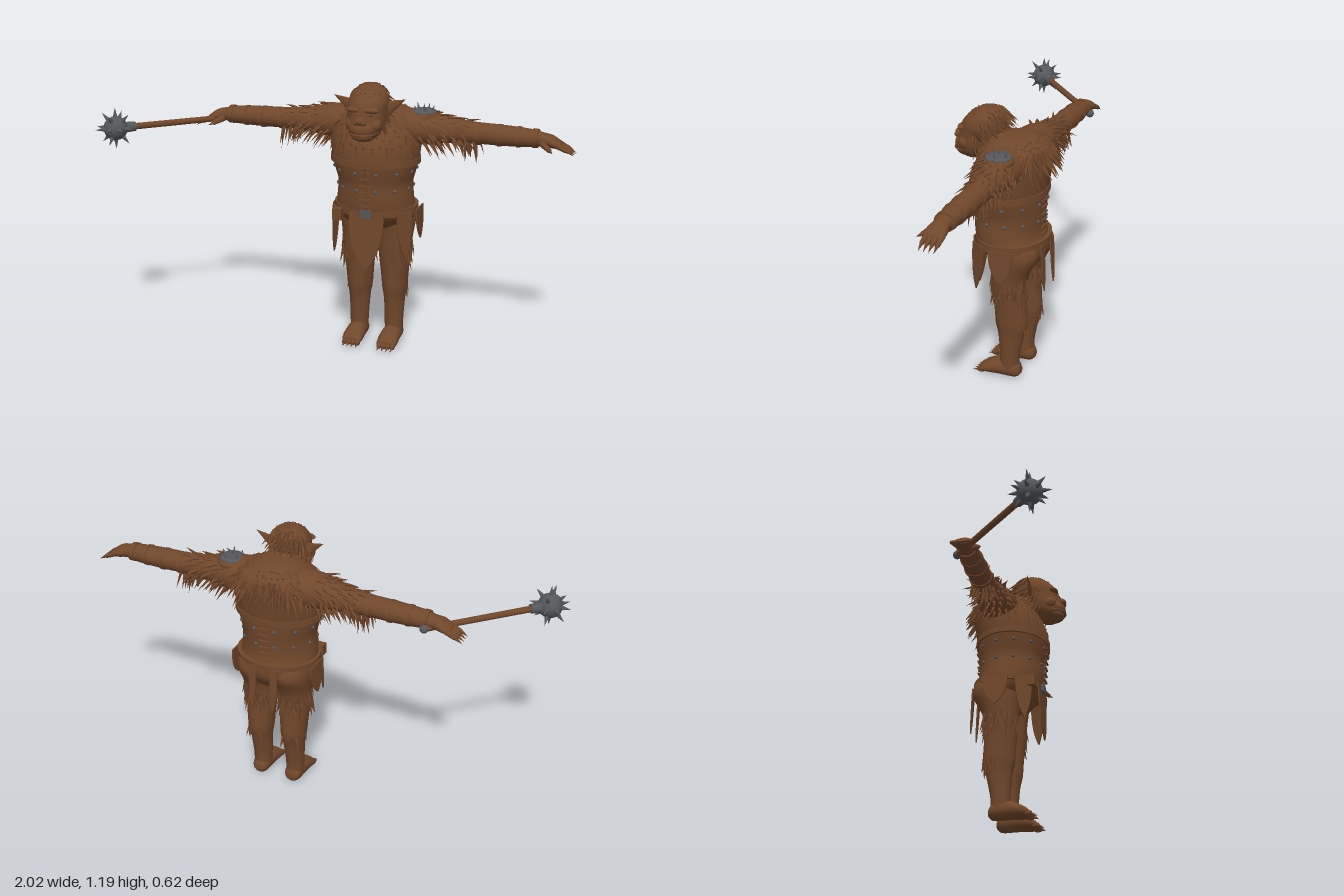
import * as THREE from 'three';
import { mergeGeometries } from 'three/addons/utils/BufferGeometryUtils.js';

const V = (x, y, z) => new THREE.Vector3(x, y, z);
const brown = new THREE.MeshStandardMaterial({ color: 0x70472b, name: 'brown hide', side: THREE.DoubleSide });
const metal = new THREE.MeshStandardMaterial({ color: 0x55575b, name: 'dark metal' });

// Places ring coordinates on an axis: rings are [t, centreA, centreB, radiusA, radiusB]
const put = { y: (t, a, b) => V(a, t, b), x: (t, a, b) => V(t, b, a), z: (t, a, b) => V(b, a, t) };

// Smoothly interpolated ring at fraction f (0..1) of the list
function ringAt(rings, f) {
  const n = rings.length - 1, s = Math.min(f * n, n - 1e-6), i = Math.floor(s), k = s - i;
  const g = j => rings[Math.max(0, Math.min(n, j))];
  return rings[0].map((_, c) => {
    const [p, q, r, w] = [g(i - 1)[c], g(i)[c], g(i + 1)[c], g(i + 2)[c]];
    return q + 0.5 * k * (r - p + k * (2 * p - 5 * q + 4 * r - w + k * (3 * (q - r) + w - p)));
  });
}
function pointOn(rings, axis, f, a) {
  const [t, ca, cb, ra, rb] = ringAt(rings, f);
  return put[axis](t, ca + ra * Math.cos(a), cb + rb * Math.sin(a));
}
function loft(rings, axis, seg = 28) {
  const steps = (rings.length - 1) * 4, pos = [], idx = [];
  for (let i = 0; i <= steps; i++)
    for (let j = 0; j < seg; j++) pos.push(...pointOn(rings, axis, i / steps, j / seg * Math.PI * 2));
  for (let i = 0; i < steps; i++) for (let j = 0; j < seg; j++) {
    const a = i * seg + j, b = i * seg + (j + 1) % seg;
    idx.push(a, a + seg, b, b, a + seg, b + seg);
  }
  for (const e of [0, steps]) { // end caps
    const [t, a, b] = ringAt(rings, e / steps), c = pos.length / 3;
    pos.push(...put[axis](t, a, b));
    for (let j = 0; j < seg; j++) {
      const p = e * seg + j, q = e * seg + (j + 1) % seg;
      idx.push(c, ...(e ? [q, p] : [p, q]));
    }
  }
  const geo = new THREE.BufferGeometry();
  geo.setAttribute('position', new THREE.Float32BufferAttribute(pos, 3));
  geo.setIndex(idx);
  geo.computeVertexNormals();
  return geo;
}
function mirror(geo) {
  const m = geo.clone().scale(-1, 1, 1), ix = m.index.array;
  for (let i = 0; i < ix.length; i += 3) [ix[i], ix[i + 1]] = [ix[i + 1], ix[i]];
  m.computeVertexNormals();
  return m;
}
// Tapering spike from p along d, its tip sagging by droop
function spike(p, d, len, r, droop = 0, sides = 4) {
  const g = new THREE.ConeGeometry(r, len, sides, droop ? 3 : 1).translate(0, len / 2, 0);
  const k = Array.from({ length: g.attributes.position.count }, (_, i) => g.attributes.position.getY(i) / len);
  g.applyQuaternion(new THREE.Quaternion().setFromUnitVectors(V(0, 1, 0), d.clone().normalize()));
  g.translate(p.x, p.y, p.z);
  k.forEach((f, i) => g.attributes.position.setY(i, g.attributes.position.getY(i) - droop * f * f));
  g.computeVertexNormals();
  return g;
}
function rod(a, b, r0, r1, sides = 12) {
  const d = b.clone().sub(a), g = new THREE.CylinderGeometry(r1, r0, d.length(), sides);
  g.applyQuaternion(new THREE.Quaternion().setFromUnitVectors(V(0, 1, 0), d.normalize()));
  return g.translate((a.x + b.x) / 2, (a.y + b.y) / 2, (a.z + b.z) / 2);
}
const ball = (x, y, z, sx, sy = sx, sz = sx) => new THREE.SphereGeometry(1, 20, 14).scale(sx, sy, sz).translate(x, y, z);
let seed = 7;
const rnd = () => (seed = (seed * 16807) % 2147483647) / 2147483647;

// Rows of fur tufts over a lofted surface, combed along flow
function fur(rings, axis, [f0, f1], [a0, a1], rows, cols, len, r, flow, lift = 0.5) {
  const out = [];
  for (let i = 0; i < rows; i++) for (let j = 0; j < cols; j++) {
    const f = f0 + (f1 - f0) * (i + rnd() * 0.7) / rows;
    const a = a0 + (a1 - a0) * (j + (i % 2) * 0.5 + rnd() * 0.4) / cols;
    const [t, ca, cb] = ringAt(rings, f), p = pointOn(rings, axis, f, a);
    const n = p.clone().sub(put[axis](t, ca, cb)).normalize();
    const L = len * (0.7 + 0.6 * rnd());
    const d = n.clone().multiplyScalar(lift).add(flow).add(V(rnd() - 0.5, 0, rnd() - 0.5).multiplyScalar(0.4));
    out.push(spike(p.addScaledVector(n, -0.004), d, L, r, L * 0.15));
  }
  return mergeGeometries(out);
}

const torso = [[0.52, 0, -0.13, 0.12, 0.07], [0.57, 0, -0.115, 0.155, 0.12], [0.62, 0, -0.095, 0.172, 0.147],
  [0.68, 0, -0.08, 0.168, 0.145], [0.75, 0, -0.08, 0.163, 0.147], [0.8, 0, -0.077, 0.175, 0.154],
  [0.86, 0, -0.075, 0.19, 0.16], [0.93, 0, -0.085, 0.196, 0.16], [1.0, 0, -0.105, 0.19, 0.148],
  [1.05, 0, -0.11, 0.15, 0.125], [1.085, 0, -0.1, 0.07, 0.07]];
const skull = [[0.965, 0, 0.09, 0.03, 0.03], [0.99, 0, 0.09, 0.06, 0.06], [1.03, 0, 0.065, 0.076, 0.088],
  [1.08, 0, 0.045, 0.08, 0.095], [1.12, 0, 0.035, 0.084, 0.094], [1.16, 0, 0.018, 0.07, 0.076], [1.188, 0, 0.01, 0.035, 0.04]];
const leg = [[0.04, 0.08, -0.112, 0.04, 0.044], [0.1, 0.08, -0.112, 0.041, 0.043], [0.2, 0.08, -0.118, 0.046, 0.056],
  [0.26, 0.08, -0.12, 0.055, 0.07], [0.32, 0.08, -0.117, 0.06, 0.071], [0.42, 0.08, -0.11, 0.07, 0.073],
  [0.5, 0.082, -0.114, 0.076, 0.083], [0.58, 0.083, -0.13, 0.084, 0.107], [0.63, 0.08, -0.13, 0.08, 0.1]];
const foot = [[-0.162, 0.035, 0.08, 0.015, 0.02], [-0.14, 0.042, 0.08, 0.038, 0.037], [-0.07, 0.044, 0.08, 0.04, 0.043],
  [-0.01, 0.031, 0.08, 0.028, 0.046], [0.015, 0.022, 0.08, 0.016, 0.04]];
const arm = [[0.1, -0.11, 0.99, 0.09, 0.08], [0.2, -0.11, 0.99, 0.084, 0.074], [0.3, -0.118, 0.985, 0.06, 0.056],
  [0.42, -0.12, 0.982, 0.048, 0.046], [0.54, -0.12, 0.98, 0.049, 0.044], [0.66, -0.12, 0.978, 0.043, 0.038],
  [0.71, -0.12, 0.977, 0.034, 0.029], [0.75, -0.12, 0.97, 0.043, 0.026], [0.79, -0.12, 0.955, 0.038, 0.014]];

export function createModel() {
  const model = new THREE.Group();
  const body = new THREE.Group();
  body.name = 'body';
  body.position.x = 0.147;
  model.add(body);
  const add = (name, geo, mat = brown, to = body) => {
    const m = new THREE.Mesh(geo, mat);
    m.name = name;
    to.add(m);
    return m;
  };
  const pair = (name, geo, mat) => { add('left ' + name, geo, mat); add('right ' + name, mirror(geo), mat); };
  const PI = Math.PI, down = V(0, -1, 0);

  // Torso, belts and vest
  add('torso', loft(torso, 'y', 40));
  const band = (name, y, h, cz, rx, rz) => add(name, new THREE.CylinderGeometry(1, 1, h, 40).scale(rx, 1, rz).translate(0, y, cz));
  band('belt', 0.635, 0.034, -0.095, 0.184, 0.155);
  band('chest strap', 0.853, 0.026, -0.075, 0.196, 0.165);
  add('vest seam', new THREE.TubeGeometry(new THREE.CatmullRomCurve3(
    [V(0, 0.65, 0.064), V(0, 0.7, 0.066), V(0, 0.76, 0.068), V(0, 0.84, 0.085)]), 12, 0.006, 6));
  for (let i = 0; i < 6; i++)
    for (const z of [-1, 1]) add('vest lacing', new THREE.BoxGeometry(0.05, 0.006, 0.008).translate(0, 0.67 + i * 0.03, z > 0 ? 0.071 + i * 0.002 : -0.229 - i * 0.001));
  add('buckle', new THREE.BoxGeometry(0.05, 0.036, 0.012).translate(0, 0.633, 0.062), metal);
  add('pouch', new THREE.BoxGeometry(0.04, 0.05, 0.035).translate(-0.135, 0.615, 0.035));
  const studs = [];
  for (const f of [0.375, 0.52]) for (let i = 0; i < 12; i++) {
    const p = pointOn(torso, 'y', f, (i + 0.5) / 6 * PI);
    studs.push(ball(p.x, p.y, p.z, 0.008));
  }
  add('vest studs', mergeGeometries(studs), metal);

  // Pointed leather flaps hanging from the belt
  const flap = (name, w, len, x, z, turn) => {
    const s = new THREE.Shape();
    s.moveTo(-w / 2, 0);
    s.lineTo(w / 2, 0);
    s.bezierCurveTo(w / 2, -len * 0.55, w * 0.3, -len * 0.8, 0, -len);
    s.bezierCurveTo(-w * 0.3, -len * 0.8, -w / 2, -len * 0.55, -w / 2, 0);
    const m = add(name, new THREE.ExtrudeGeometry(s, { depth: 0.006, bevelEnabled: false }));
    m.position.set(x, 0.635, z);
    m.rotation.set(-0.05, turn, 0, 'YXZ');
  };
  flap('front flap', 0.155, 0.25, 0, 0.05, 0);
  for (const s of [-1, 1]) {
    flap('front side flap', 0.08, 0.2, s * 0.15, 0.0, s * 0.95);
    flap('side flap', 0.11, 0.14, s * 0.184, -0.115, s * PI / 2);
    flap('back tail', 0.035, 0.21, s * 0.05, -0.242, PI);
  }

  // Legs, feet and toes
  pair('leg', loft(leg, 'y'));
  pair('foot', loft(foot, 'z', 20));
  for (let i = 0; i < 4; i++) {
    const x = 0.05 + i * 0.02;
    pair('toe', ball(x, 0.018, 0.012, 0.011, 0.013, 0.02));
    pair('toe claw', spike(V(x, 0.016, 0.02), V(0, -0.25, 1), 0.032, 0.007, 0, 6));
  }
  pair('thigh fur', fur(leg, 'y', [0.6, 0.74], [-1.6, 1.6], 3, 9, 0.06, 0.009, down, 0.25));
  pair('thigh back fur', fur(leg, 'y', [0.6, 0.72], [3.4, 4.8], 2, 5, 0.045, 0.008, down, 0.25));
  pair('calf fur', fur(leg, 'y', [0.33, 0.42], [3.9, 6.5], 2, 6, 0.04, 0.007, down, 0.2));

  // Arms, bracers and clawed hands
  pair('arm', loft(arm, 'x'));
  for (const [x, r, h] of [[0.44, 0.053, 0.02], [0.53, 0.053, 0.015], [0.61, 0.05, 0.015], [0.68, 0.045, 0.022]])
    pair('bracer band', new THREE.CylinderGeometry(r * 0.97, r, h, 24).rotateZ(-PI / 2).scale(1, 0.9, 1).translate(x, 0.979, -0.12));
  for (let i = 0; i < 4; i++) {
    const z = -0.152 + i * 0.021;
    pair('finger', rod(V(0.77, 0.962, z), V(0.812, 0.942, z), 0.012, 0.009, 10));
    pair('finger claw', spike(V(0.81, 0.944, z), V(1, -0.5, 0), 0.04, 0.009, 0.004, 6));
  }
  pair('thumb', rod(V(0.71, 0.965, -0.09), V(0.75, 0.945, -0.058), 0.014, 0.01, 10));
  pair('thumb claw', spike(V(0.748, 0.946, -0.06), V(0.7, -0.3, 0.8), 0.028, 0.009, 0, 6));
  pair('arm fur', fur(arm, 'x', [0.12, 0.35], [0, 2 * PI], 6, 13, 0.06, 0.008, V(0.6, -0.35, 0), 0.5));
  pair('elbow fur', fur(arm, 'x', [0.3, 0.4], [3.6, 5.8], 3, 6, 0.07, 0.009, V(0.3, -0.9, 0), 0.4));

  // Mane, shoulder fur and chest fringe
  add('back mane', fur(torso, 'y', [0.76, 0.97], [PI, 2 * PI], 7, 19, 0.065, 0.009, V(0, -0.8, -0.25), 0.5));
  add('chest fringe', fur(torso, 'y', [0.69, 0.86], [0.1, PI - 0.1], 4, 18, 0.06, 0.009, down, 0.22));
  pair('shoulder fur', fur(torso, 'y', [0.82, 0.95], [-0.8, 1.1], 4, 8, 0.055, 0.009, V(0.6, -0.5, 0), 0.5));
  add('crown mane', fur(skull, 'y', [0.45, 0.98], [PI + 0.1, 2 * PI - 0.1], 6, 9, 0.05, 0.008, V(0, -0.5, -0.5), 0.5));
  add('forelock', fur(skull, 'y', [0.8, 0.97], [0.6, PI - 0.6], 2, 7, 0.035, 0.007, V(0, -0.6, 0.1), 0.5));
  pair('cheek whiskers', fur(skull, 'y', [0.3, 0.62], [-0.6, 0.25], 4, 4, 0.045, 0.008, V(0, -0.9, -0.3), 0.35));

  // Head and face
  add('head', loft(skull, 'y'));
  add('neck', ball(0, 1.03, -0.02, 0.085, 0.07, 0.09));
  add('muzzle', ball(0, 1.02, 0.112, 0.06, 0.042, 0.055));
  add('lower jaw', ball(0, 0.99, 0.105, 0.052, 0.025, 0.055));
  add('nose', ball(0, 1.058, 0.148, 0.024, 0.018, 0.022));
  add('mouth', new THREE.TorusGeometry(0.052, 0.006, 6, 20, PI).rotateX(PI / 2).translate(0, 1.0, 0.112));
  pair('nostril', ball(0.017, 1.052, 0.155, 0.012, 0.011, 0.012));
  pair('brow', ball(0.035, 1.1, 0.119, 0.037, 0.013, 0.02));
  pair('eye', ball(0.034, 1.082, 0.122, 0.011, 0.009, 0.011));
  pair('cheek', ball(0.05, 1.035, 0.098, 0.027, 0.03, 0.035));
  pair('tusk', spike(V(0.032, 0.995, 0.148), V(0.1, 1, 0.15), 0.035, 0.007, 0, 8));
  const ear = new THREE.ConeGeometry(0.034, 0.1, 12, 1).scale(1, 1, 0.35).rotateZ(-1.1).translate(0.113, 1.112, 0.02);
  pair('ear', ear);

  // Spiked plate on the left shoulder
  const plate = [V(0.2, 1.062, -0.115)];
  add('shoulder pad', ball(0.2, 1.04, -0.115, 0.065, 0.03, 0.065));
  add('shoulder plate', ball(0.2, 1.058, -0.115, 0.055, 0.014, 0.055), metal);
  for (let i = 0; i < 5; i++) plate.push(V(0.2 + 0.034 * Math.cos(i * 0.4 * PI), 1.06, -0.115 + 0.034 * Math.sin(i * 0.4 * PI)));
  add('plate spikes', mergeGeometries(plate.map(p => spike(p, p.clone().sub(V(0.2, 0.97, -0.115)), 0.032, 0.007, 0, 8))), metal);

  // Spiked mace in the right hand
  const mace = new THREE.Group();
  mace.name = 'mace';
  model.add(mace);
  const a = V(-0.538, 0.957, -0.162), b = V(-0.935, 0.962, 0.228);
  const along = f => a.clone().lerp(b, f);
  add('handle', rod(a, b, 0.013, 0.014), brown, mace);
  add('collar', rod(along(0.84), along(0.94), 0.02, 0.024), metal, mace);
  add('pommel', ball(a.x, a.y, a.z, 0.018), metal, mace);
  add('mace head', ball(b.x, b.y, b.z, 0.052), metal, mace);
  const dirs = [V(0, 1, 0), V(0, -1, 0)];
  for (let i = 0; i < 8; i++) dirs.push(V(Math.cos(i * PI / 4), 0, Math.sin(i * PI / 4)));
  for (let i = 0; i < 4; i++) for (const y of [-1, 1]) dirs.push(V(Math.cos(i * PI / 2), y, Math.sin(i * PI / 2)));
  add('mace spikes', mergeGeometries(dirs.map(d => spike(b.clone().addScaledVector(d.normalize(), 0.046), d, 0.044, 0.011, 0, 8))), metal, mace);
  return model;
}
